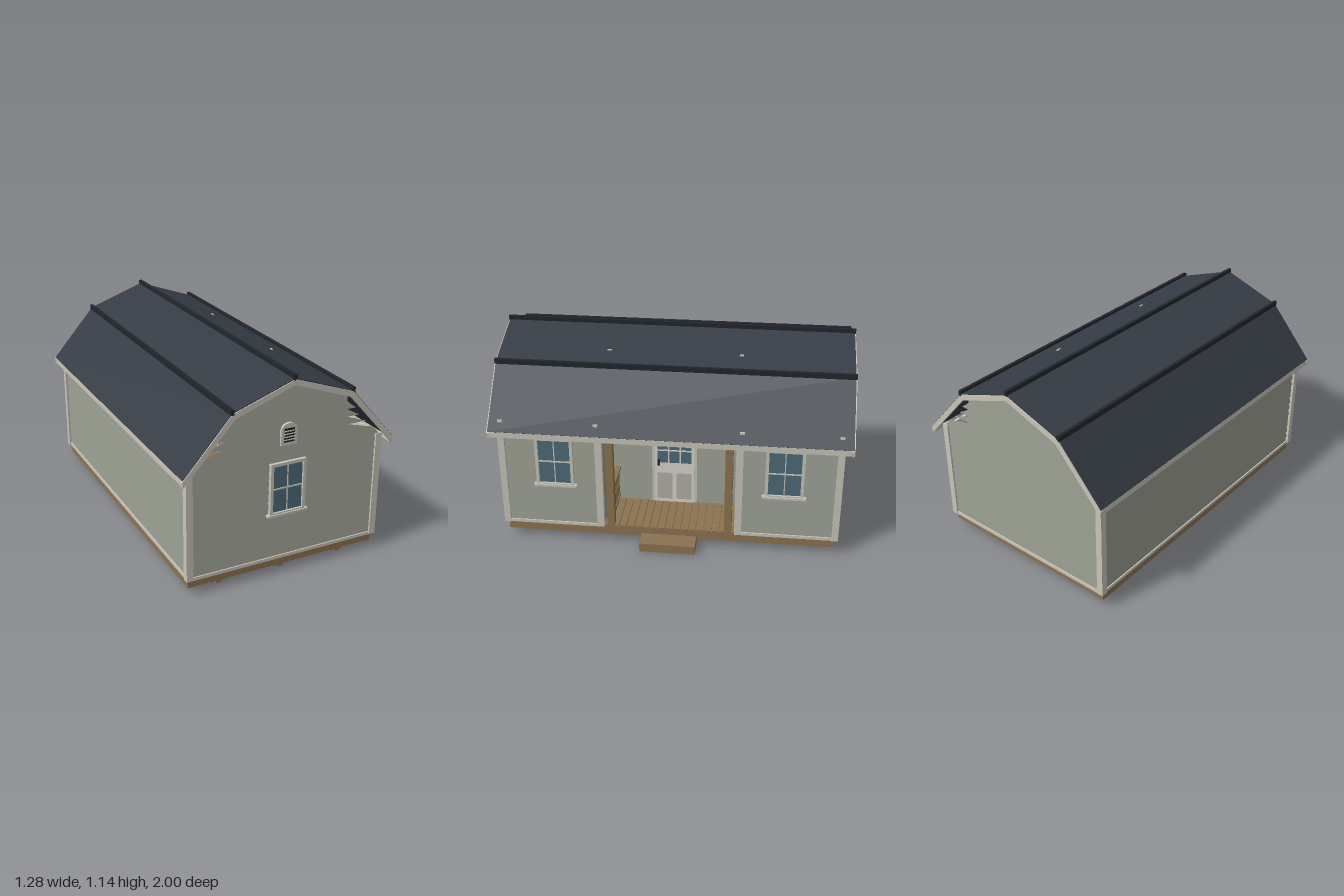
import * as THREE from 'three';

const mat = (name, color, double) => {
  const m = new THREE.MeshStandardMaterial({ color });
  m.name = name;
  if (double) m.side = THREE.DoubleSide;
  return m;
};

export function createModel() {
  const siding = mat('siding grey', 0x95988c, true);
  const trim = mat('trim cream', 0xc9c5ba);
  const wood = mat('wood brown', 0x8c7350);
  const roofing = mat('roof slate', 0x353c45);
  const dark = mat('cap charcoal', 0x22262b);
  const glass = mat('glass blue', 0x4e6a78);
  const concrete = mat('pad grey', 0x84908e);
  const white = mat('door white', 0xd8d6cd);
  const panelGrey = mat('door panel grey', 0xb2b2a8);

  const model = new THREE.Group();
  model.name = 'shed';
  const building = new THREE.Group();
  building.name = 'building';
  building.position.x = -0.025;
  model.add(building);

  const group = (name, parent = building) => {
    const g = new THREE.Group();
    g.name = name;
    parent.add(g);
    return g;
  };
  // Box given by its low and high limits on each axis
  const box = (name, m, x0, x1, y0, y1, z0, z1, parent = building) => {
    const mesh = new THREE.Mesh(new THREE.BoxGeometry(x1 - x0, y1 - y0, z1 - z0), m);
    mesh.position.set((x0 + x1) / 2, (y0 + y1) / 2, (z0 + z1) / 2);
    mesh.name = name;
    parent.add(mesh);
    return mesh;
  };

  // Lap siding in the xy plane facing +z; span(y, k, isTop) gives the ends of a board edge
  const PITCH = 0.0435, LAP = 0.008, BASE = 0.09;
  const lapWall = (name, top, span, x, z, turn) => {
    const p = [];
    const quad = (a, b, c, d) => p.push(...a, ...b, ...c, ...a, ...c, ...d);
    for (let k = 0; BASE + k * PITCH < top - 0.002; k++) {
      const y0 = BASE + k * PITCH, y1 = Math.min(y0 + PITCH, top);
      const [a, b] = span(y0, k, false), [c, d] = span(y1, k, true);
      quad([a, y0, LAP], [b, y0, LAP], [d, y1, 0], [c, y1, 0]);
      quad([a, y0, 0], [b, y0, 0], [b, y0, LAP], [a, y0, LAP]);
    }
    const g = new THREE.BufferGeometry();
    g.setAttribute('position', new THREE.Float32BufferAttribute(p, 3));
    g.computeVertexNormals();
    const mesh = new THREE.Mesh(g, siding);
    mesh.name = name;
    mesh.position.set(x, 0, z);
    mesh.rotation.y = turn;
    building.add(mesh);
  };
  const Q = Math.PI / 2;

  // Gable walls, with ragged board ends below the roof break
  const tips = { 15: 0.52, 16: 0.47, 17: 0.425, 18: 0.402 };
  const gableSpan = (y, k, isTop) => {
    let h = 0.56;
    if (k === 14 && isTop) h = 0.52;
    else if (tips[k]) h = isTop ? 0.347 : tips[k];
    else if (k > 18) h = Math.max(0, Math.min(0.348, (1.088 - y) * 2.75));
    return [-h, h];
  };
  lapWall('frontGableWall', 1.088, gableSpan, 0, 0.937, 0);
  lapWall('backGableWall', 1.088, gableSpan, 0, -0.937, Math.PI);

  // Long walls and recessed porch walls
  const flat = (a, b) => () => [a, b];
  lapWall('leftSideFrontWall', 0.69, flat(-0.94, -0.375), 0.556, 0, Q);
  lapWall('leftSideBackWall', 0.69, flat(0.375, 0.94), 0.556, 0, Q);
  lapWall('rightSideWall', 0.69, flat(-0.94, 0.94), -0.556, 0, -Q);
  lapWall('porchBackWall', 0.68, flat(-0.38, 0.38), 0.26, 0, Q);
  lapWall('porchFrontEndWall', 0.68, flat(-0.56, -0.26), 0, 0.38, Math.PI);
  lapWall('porchBackEndWall', 0.68, flat(0.26, 0.56), 0, -0.38, 0);
  box('porchCeiling', trim, 0.25, 0.55, 0.662, 0.672, -0.385, 0.385);

  // Corner boards, base boards and frieze boards
  for (const s of [1, -1]) {
    for (const t of [1, -1]) {
      const x = 0.5565 * s, z = 0.9335 * t;
      box('cornerBoard', trim, x - 0.0185, x + 0.0185, BASE, 0.7, z - 0.0185, z + 0.0185);
    }
    box('gableBaseBoard', trim, -0.56, 0.56, 0.088, 0.106, 0.942 * s - 0.007, 0.942 * s + 0.007);
    const z0 = s > 0 ? 0.37 : -0.94, z1 = s > 0 ? 0.94 : -0.37;
    box('sideBaseBoard', trim, 0.555, 0.568, 0.088, 0.106, z0, z1);
    const c = 0.39 * s;
    box('porchCornerBoard', trim, 0.54, 0.571, BASE, 0.68, c - 0.02, c + 0.02);
    box('porchInnerCorner', trim, 0.26, 0.275, BASE, 0.665, 0.372 * s - 0.008, 0.372 * s + 0.008);
  }
  box('sideBaseBoard', trim, -0.568, -0.555, 0.088, 0.106, -0.94, 0.94);
  box('leftFrieze', trim, 0.552, 0.57, 0.655, 0.69, -0.94, 0.94);
  box('rightFrieze', trim, -0.57, -0.552, 0.655, 0.69, -0.94, 0.94);

  // Gambrel roof and rake boards: a band between an upper and a lower roof line
  const band = (name, m, upper, lower, z0, z1) => {
    const half = (pts, s) => pts.map(([x, y]) => new THREE.Vector2(x * s, y));
    const outline = [
      ...half(upper, 1).reverse(), ...half(upper, -1).slice(1),
      ...half(lower, -1).reverse(), ...half(lower, 1).slice(1)];
    const g = new THREE.ExtrudeGeometry(new THREE.Shape(outline.reverse()),
      { depth: z1 - z0, bevelEnabled: false });
    const mesh = new THREE.Mesh(g, m);
    mesh.name = name;
    mesh.position.z = z0;
    building.add(mesh);
  };
  band('roof', roofing, [[0, 1.118], [0.346, 0.995], [0.612, 0.692]],
    [[0, 1.1], [0.338, 0.98], [0.6, 0.682]], -0.993, 0.993);
  for (const s of [1, -1]) {
    const z = 0.99 * s;
    band('rakeBoard', trim, [[0, 1.113], [0.345, 0.991], [0.615, 0.686]],
      [[0, 1.083], [0.33, 0.963], [0.61, 0.652]], z - 0.008, z + 0.008);
    box('eaveFascia', trim, 0.604 * s - 0.007, 0.604 * s + 0.007, 0.658, 0.69, -0.99, 0.99);
    box('breakCap', dark, 0.346 * s - 0.009, 0.346 * s + 0.009, 0.985, 1.014, -0.998, 0.998);
  }
  box('ridgeCap', dark, -0.009, 0.009, 1.105, 1.138, -0.998, 0.998);

  // Small clips on the left roof slopes
  for (const z of [0.93, 0.4, -0.4, -0.93])
    box('roofClip', trim, 0.56, 0.576, 0.735, 0.746, z - 0.013, z + 0.013);
  for (const z of [0.37, -0.37])
    box('roofClip', trim, 0.217, 0.225, 1.03, 1.045, z - 0.012, z + 0.012);

  // Floor frame, skids and pads
  box('floorFrame', wood, -0.56, 0.56, 0.04, 0.089, -0.93, 0.93);
  for (const x of [-0.366, 0, 0.366]) {
    box('skid', wood, x - 0.018, x + 0.018, 0.004, 0.041, -0.9, 0.9);
    for (const z of [-0.835, 0, 0.835])
      box('pad', concrete, x - 0.044, x + 0.044, 0, 0.026, z - 0.053, z + 0.053);
  }

  // Porch deck, step, posts and railings
  const porch = group('porch');
  for (let i = 0; i < 17; i++) {
    const z = -0.352 + i * 0.044;
    box('deckBoard', wood, 0.262, 0.562, 0.085, 0.1, z - 0.019, z + 0.019, porch);
  }
  box('step', wood, 0.555, 0.665, 0.003, 0.055, -0.157, 0.157, porch);
  for (const s of [1, -1]) {
    const z = 0.333 * s;
    box('post', wood, 0.515, 0.56, 0.09, 0.665, z - 0.021, z + 0.021, porch);
    box('topRail', wood, 0.27, 0.52, 0.305, 0.322, z - 0.014, z + 0.014, porch);
    box('bottomRail', wood, 0.27, 0.52, 0.13, 0.145, z - 0.01, z + 0.01, porch);
    for (let i = 0; i < 7; i++) {
      const x = 0.29 + i * 0.034;
      box('baluster', wood, x - 0.006, x + 0.006, 0.14, 0.308, z - 0.006, z + 0.006, porch);
    }
  }

  // Windows: glass, frame, glazing bars and sill, facing local +z
  const addWindow = (name, x, z, turn, w, y0, y1) => {
    const g = group(name);
    g.position.set(x, 0, z);
    g.rotation.y = turn;
    const f = 0.017, mid = (y0 + y1) / 2;
    box('glass', glass, -w, w, y0, y1, 0, 0.009, g);
    for (const s of [1, -1]) {
      const c = s * (w + f / 2);
      box('frameSide', trim, c - f / 2, c + f / 2, y0 - f, y1 + f, -0.004, 0.02, g);
    }
    box('frameTop', trim, -w, w, y1, y1 + f, -0.004, 0.02, g);
    box('frameBottom', trim, -w, w, y0 - f, y0, -0.004, 0.02, g);
    box('verticalBar', trim, -0.003, 0.003, y0, y1, 0, 0.013, g);
    box('horizontalBar', trim, -w, w, mid - 0.004, mid + 0.004, 0, 0.013, g);
    box('sill', trim, -w - 0.032, w + 0.032, y0 - f - 0.004, y0 - 0.008, -0.004, 0.026, g);
  };
  addWindow('frontWindow', 0, 0.942, 0, 0.087, 0.374, 0.638);
  for (const z of [0.638, -0.638]) addWindow('sideWindow', 0.562, z, Q, 0.089, 0.37, 0.637);

  // Gable vent with arched frame
  const vent = group('gableVent');
  vent.position.z = 0.94;
  const arch = new THREE.Shape();
  arch.moveTo(-0.047, 0.745);
  arch.lineTo(0.047, 0.745);
  arch.lineTo(0.047, 0.825);
  arch.absellipse(0, 0.825, 0.047, 0.041, 0, Math.PI, false);
  arch.lineTo(-0.047, 0.745);
  const ventFrame = new THREE.Mesh(
    new THREE.ExtrudeGeometry(arch, { depth: 0.014, bevelEnabled: false, curveSegments: 8 }), trim);
  ventFrame.name = 'ventFrame';
  vent.add(ventFrame);
  box('ventOpening', dark, -0.03, 0.03, 0.762, 0.838, 0.012, 0.016, vent);
  for (let i = 0; i < 4; i++)
    box('ventSlat', trim, -0.03, 0.03, 0.773 + i * 0.016, 0.778 + i * 0.016, 0.014, 0.02, vent);

  // Porch door with a glazed upper half and two lower panels
  const door = group('door');
  door.position.x = 0.262;
  door.rotation.y = Q;
  box('doorFrame', trim, -0.132, 0.132, 0.1, 0.66, 0, 0.012, door);
  box('doorLeaf', white, -0.116, 0.116, 0.102, 0.645, 0.004, 0.017, door);
  box('doorGlass', glass, -0.1, 0.1, 0.368, 0.628, 0.012, 0.019, door);
  for (const x of [-0.034, 0.034])
    box('doorVerticalBar', white, x - 0.004, x + 0.004, 0.368, 0.628, 0.014, 0.022, door);
  box('doorLowerBar', white, -0.1, 0.1, 0.446, 0.454, 0.014, 0.022, door);
  box('doorUpperBar', dark, -0.1, 0.1, 0.538, 0.542, 0.014, 0.022, door);
  for (const x of [-0.056, 0.056])
    box('doorPanel', panelGrey, x - 0.045, x + 0.045, 0.125, 0.3, 0.014, 0.02, door);
  box('doorHandle', dark, -0.098, -0.084, 0.355, 0.39, 0.015, 0.035, door);

  return model;
}
